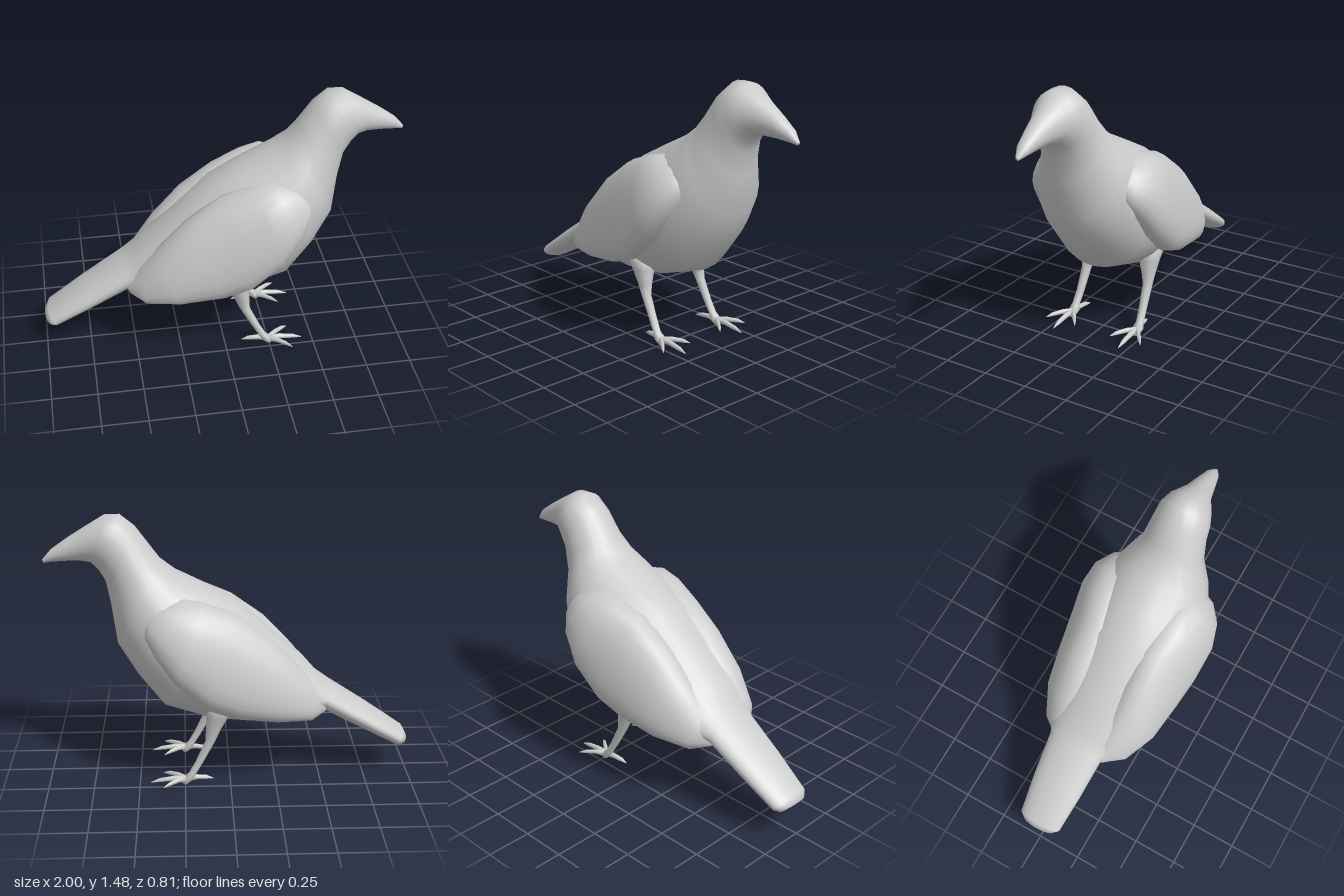
import * as THREE from 'three';

const material = new THREE.MeshStandardMaterial({ color: 0xcccccc });

// Skin a row of oval sections. Each section: [lower point, upper point, half thickness in z, squareness]
function loft(name, sections, n = 20) {
  const pos = [], idx = [], v = new THREE.Vector3();
  const sgnPow = (t, p) => Math.sign(t) * Math.abs(t) ** p;
  const centres = sections.map(([lo, up, th, p = 1]) => {
    const L = new THREE.Vector3(...lo), U = new THREE.Vector3(...up);
    const c = L.clone().add(U).multiplyScalar(0.5), a = U.clone().sub(c);
    for (let i = 0; i < n; i++) {
      const t = (i / n) * Math.PI * 2;
      v.copy(c).addScaledVector(a, sgnPow(Math.cos(t), p));
      v.z += th * sgnPow(Math.sin(t), p);
      pos.push(v.x, v.y, v.z);
    }
    return c;
  });
  const last = sections.length - 1, c0 = pos.length / 3, c1 = c0 + 1;
  pos.push(...centres[0].toArray(), ...centres[last].toArray());
  for (let i = 0; i < n; i++) {
    const j = (i + 1) % n;
    for (let s = 0; s < last; s++) {
      const a = s * n + i, b = s * n + j;
      idx.push(a, b, a + n, b, b + n, a + n);
    }
    idx.push(c0, j, i, c1, last * n + i, last * n + j);
  }
  // Turn the faces outward if the enclosed volume comes out negative
  const P = k => new THREE.Vector3().fromArray(pos, k * 3);
  let volume = 0;
  for (let k = 0; k < idx.length; k += 3) volume += P(idx[k]).dot(P(idx[k + 1]).cross(P(idx[k + 2])));
  if (volume < 0) idx.reverse();
  const geo = new THREE.BufferGeometry();
  geo.setAttribute('position', new THREE.Float32BufferAttribute(pos, 3));
  geo.setIndex(idx);
  geo.computeVertexNormals();
  const mesh = new THREE.Mesh(geo, material);
  mesh.name = name;
  return mesh;
}

// Tail, trunk, head and beak: lower x y, upper x y, half width
const BODY = [
  [-0.945, 0.165, -1.0, 0.205, 0.095], [-0.92, 0.168, -0.98, 0.245, 0.125],
  [-0.72, 0.275, -0.78, 0.385, 0.148], [-0.5, 0.395, -0.56, 0.53, 0.165],
  [-0.42, 0.365, -0.48, 0.59, 0.2], [-0.3, 0.33, -0.4, 0.68, 0.25],
  [-0.1, 0.32, -0.25, 0.81, 0.29], [0.1, 0.335, -0.05, 1.0, 0.32],
  [0.36, 0.42, 0.13, 1.095, 0.33], [0.5, 0.6, 0.29, 1.175, 0.3],
  [0.61, 0.78, 0.37, 1.24, 0.235], [0.64, 1.0, 0.42, 1.31, 0.175],
  [0.665, 1.13, 0.5, 1.42, 0.155], [0.7, 1.19, 0.58, 1.485, 0.145],
  [0.74, 1.23, 0.66, 1.485, 0.12], [0.79, 1.237, 0.77, 1.42, 0.075],
  [0.87, 1.237, 0.865, 1.36, 0.055], [0.95, 1.232, 0.95, 1.3, 0.035],
  [0.99, 1.225, 0.998, 1.245, 0.01],
];

// Folded wing, tail end to shoulder: lower x y z, upper x y z, half thickness
const WING = [
  [-0.52, 0.4, 0.14, -0.54, 0.45, 0.13, 0.02],
  [-0.44, 0.38, 0.2, -0.47, 0.55, 0.13, 0.085],
  [-0.25, 0.4, 0.26, -0.36, 0.69, 0.16, 0.115],
  [-0.02, 0.43, 0.28, -0.2, 0.86, 0.17, 0.132],
  [0.13, 0.49, 0.3, -0.02, 0.99, 0.17, 0.14],
  [0.3, 0.64, 0.3, 0.14, 1.05, 0.19, 0.15],
  [0.4, 0.78, 0.27, 0.25, 1.075, 0.19, 0.14],
  [0.455, 0.88, 0.24, 0.36, 1.05, 0.19, 0.09],
  [0.46, 0.96, 0.21, 0.42, 1.02, 0.19, 0.03],
];

// Leg from thigh to ankle: x, y, z, radius
const LEG = [
  [0.04, 0.5, 0.18, 0.09], [0.07, 0.4, 0.185, 0.062], [0.095, 0.32, 0.195, 0.04],
  [0.11, 0.26, 0.2, 0.028], [0.17, 0.14, 0.205, 0.023], [0.21, 0.07, 0.21, 0.022],
  [0.235, 0.04, 0.21, 0.032], [0.25, 0.008, 0.21, 0.014],
];

// Toe tips relative to the ankle: x, y, z
const TOES = [[0.2, 0.018, 0], [0.13, 0.03, 0.095], [0.13, 0.03, -0.095], [-0.145, 0.028, -0.02]];

export function createModel() {
  const bird = new THREE.Group();
  bird.name = 'bird';
  bird.add(loft('body', BODY.map(([x0, y0, x1, y1, w]) => {
    const z = x0 < -0.4 ? -0.015 : 0;
    return [[x0, y0, z], [x1, y1, z], w];
  }), 24));

  for (const [side, s] of [['left', -1], ['right', 1]]) {
    bird.add(loft(side + 'Wing', WING.map(([x0, y0, z0, x1, y1, z1, t]) =>
      [[x0, y0, z0 * s], [x1, y1, z1 * s], t, 0.9])));

    const leg = new THREE.Group();
    leg.name = side + 'Leg';
    leg.add(loft(side + 'Shank', LEG.map(([x, y, z, r]) =>
      [[x - r, y, z * s], [x + r, y, z * s], r]), 10));

    // Toes taper from the ankle to a pointed claw
    TOES.forEach(([tx, ty, tz], i) => {
      const rings = [[0, 0.018], [0.35, 0.015], [0.75, 0.012], [1, 0.002]].map(([k, r]) => {
        const x = 0.24 + tx * k, z = (0.21 + tz * k) * s;
        const y = THREE.MathUtils.lerp(0.036, ty, k) + 0.012 * Math.sin(k * Math.PI);
        return [[x, y - r, z], [x, y + r, z], r];
      });
      leg.add(loft(side + 'Toe' + (i + 1), rings, 8));
    });
    bird.add(leg);
  }
  return bird;
}
